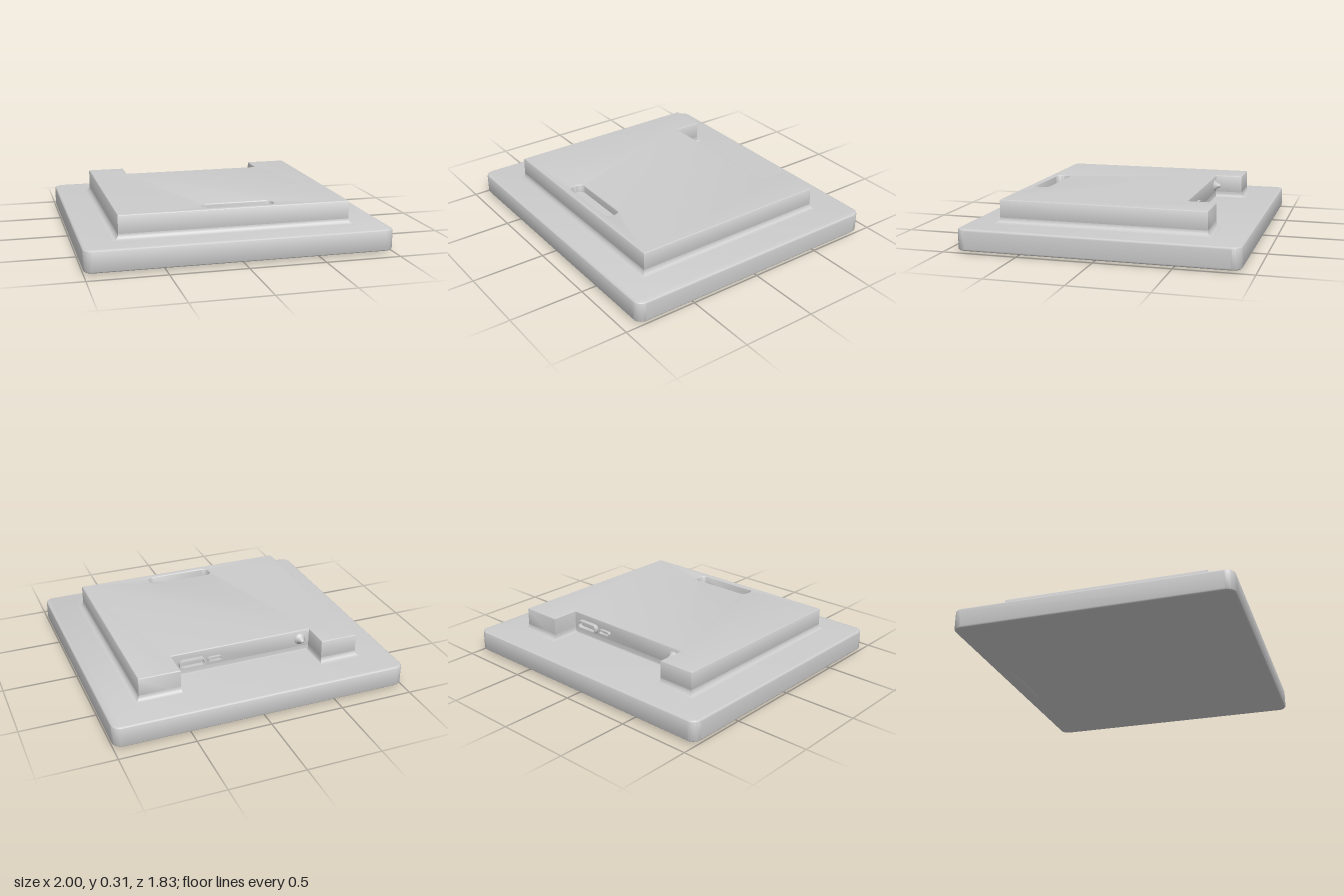
import * as THREE from 'three';
import { toCreasedNormals } from 'three/addons/utils/BufferGeometryUtils.js';

const material = new THREE.MeshStandardMaterial({ color: 0xcccccc, side: THREE.DoubleSide });

// Rounded rectangle traced onto a Shape or Path
function roundedRect(path, x0, y0, x1, y1, r) {
  path.absarc(x1 - r, y0 + r, r, -Math.PI / 2, 0);
  path.absarc(x1 - r, y1 - r, r, 0, Math.PI / 2);
  path.absarc(x0 + r, y1 - r, r, Math.PI / 2, Math.PI);
  path.absarc(x0 + r, y0 + r, r, Math.PI, Math.PI * 1.5);
  path.closePath();
  return path;
}

// Upright extrusion of a plan shape (shape y = -z) with softened edges
function plate(shape, y0, y1, bevel) {
  const geo = new THREE.ExtrudeGeometry(shape, {
    depth: y1 - y0 - 2 * bevel, bevelThickness: bevel, bevelSize: bevel,
    bevelOffset: -bevel, bevelSegments: 4, curveSegments: 10,
  });
  geo.rotateX(-Math.PI / 2).translate(0, y0 + bevel, 0);
  return toCreasedNormals(geo, 0.7);
}

// Block outline as [x, z, outward x, outward z], counter-clockwise in plan
const outline = [
  [-0.76, 0.705, -1, 1], [0.76, 0.705, 1, 1],
  [0.76, -0.665, 1, -1], [0.48, -0.665, -0.4, -1],
  [0.48, -0.475, -0.4, -0.1], [-0.505, -0.475, 0.4, -0.1],
  [-0.505, -0.665, 0.4, -1], [-0.76, -0.665, -1, -1],
];

// Concave fillet where the block meets the base
function coveGeometry(y, radius, steps) {
  const pos = [], index = [], n = outline.length;
  for (let s = 0; s <= steps; s++) {
    const a = (s / steps) * Math.PI / 2;
    const out = radius * (1 - Math.sin(a)), h = radius * (1 - Math.cos(a));
    for (const [x, z, ox, oz] of outline) pos.push(x + ox * out, y + h, z + oz * out);
  }
  for (let s = 0; s < steps; s++) for (let i = 0; i < n; i++) {
    const a = s * n + i, b = s * n + (i + 1) % n;
    index.push(a, b, b + n, a, b + n, a + n);
  }
  const geo = new THREE.BufferGeometry();
  geo.setAttribute('position', new THREE.Float32BufferAttribute(pos, 3));
  geo.setIndex(index);
  return toCreasedNormals(geo, 0.7);
}

// Hollow rim of a socket standing out from the notch wall
function socketGeometry(x0, x1, y0, y1, depth, rim) {
  const shape = roundedRect(new THREE.Shape(), x0, y0, x1, y1, (y1 - y0) * 0.45);
  shape.holes.push(roundedRect(new THREE.Path(), x0 + rim, y0 + rim, x1 - rim, y1 - rim, (y1 - y0) * 0.45 - rim));
  const geo = new THREE.ExtrudeGeometry(shape, { depth, bevelEnabled: false, curveSegments: 8 });
  geo.translate(0, 0, -0.475 - depth);
  return toCreasedNormals(geo, 0.7);
}

export function createModel() {
  const group = new THREE.Group();
  const add = (name, geo) => {
    const mesh = new THREE.Mesh(geo, material);
    mesh.name = name;
    group.add(mesh);
    return mesh;
  };

  // Wide base slab
  add('base', plate(roundedRect(new THREE.Shape(), -1, -0.913, 1, 0.913, 0.06), 0.013, 0.155, 0.015));

  // Raised block with a rear notch and a slot through its top
  const block = new THREE.Shape(outline.map(([x, z]) => new THREE.Vector2(x, -z)));
  block.holes.push(roundedRect(new THREE.Path(), -0.2, -0.66, 0.27, -0.56, 0.04));
  add('block', plate(block, 0.14, 0.31, 0.008));
  add('cove', coveGeometry(0.155, 0.035, 6));

  // Floor of the finger slot
  const floor = new THREE.ShapeGeometry(roundedRect(new THREE.Shape(), -0.205, -0.665, 0.275, -0.555, 0.04));
  add('slotFloor', floor.rotateX(-Math.PI / 2).translate(0, 0.255, 0));

  // Sockets on the notch wall
  add('largeSocket', socketGeometry(0.25, 0.43, 0.205, 0.265, 0.03, 0.012));
  add('smallSocket', socketGeometry(0.13, 0.23, 0.215, 0.25, 0.018, 0.008));

  // Rounded button on the notch wall
  const profile = [[0.04, 0], [0.035, 0.008], [0.022, 0.018], [0.016, 0.035], [0.009, 0.045], [0, 0.048]];
  const button = add('button', new THREE.LatheGeometry(profile.map(([r, h]) => new THREE.Vector2(r, h)), 20));
  button.rotation.x = -Math.PI / 2;
  button.position.set(-0.44, 0.245, -0.475);

  // Shallow swelling beneath the rear edge
  const foot = add('foot', new THREE.SphereGeometry(1, 32, 16));
  foot.scale.set(0.34, 0.018, 0.05);
  foot.position.set(-0.015, 0.018, -0.85);

  return group;
}
